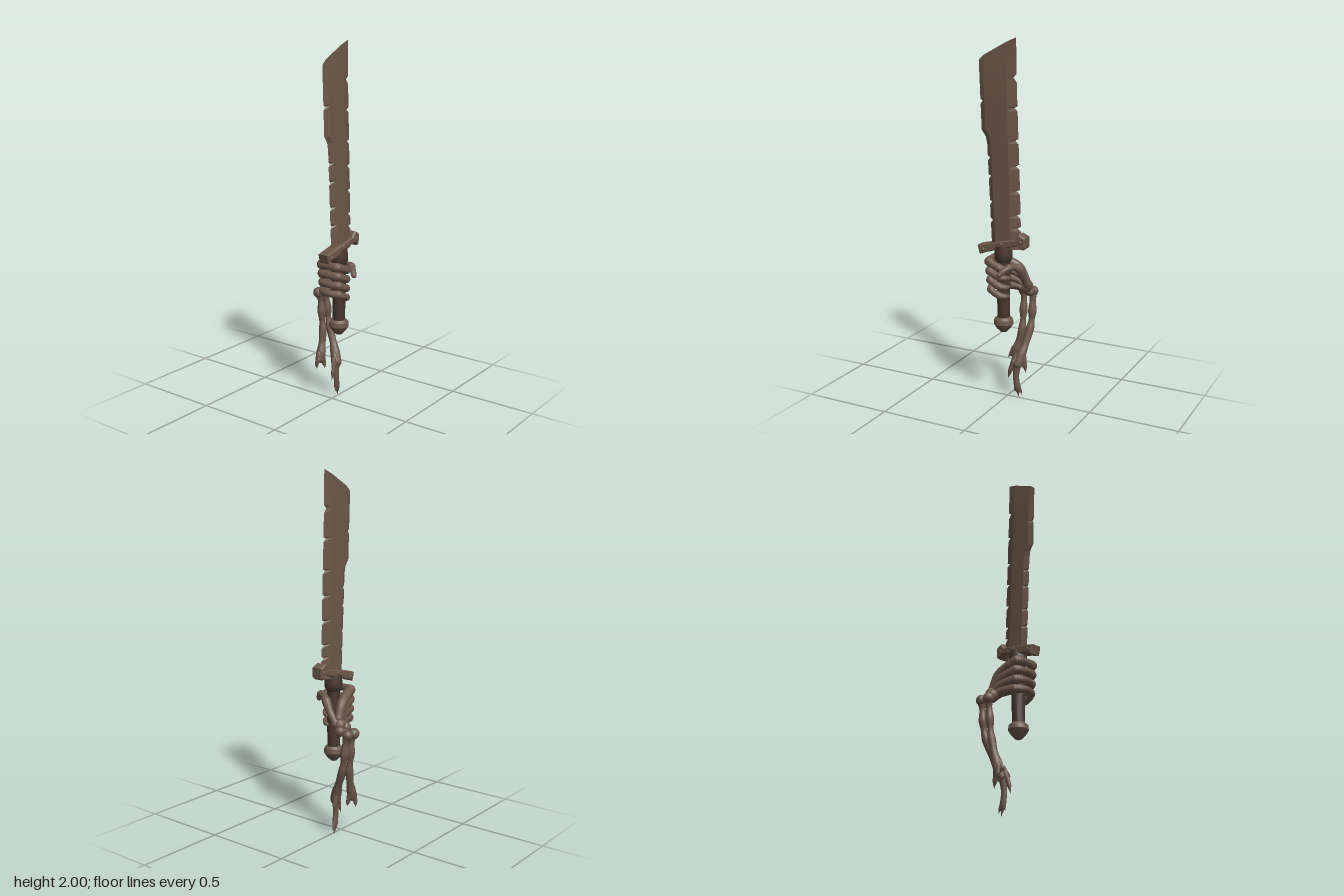
import * as THREE from 'three';
import { toCreasedNormals } from 'three/addons/utils/BufferGeometryUtils.js';

const mat = (name, color, side = THREE.FrontSide) => {
  const m = new THREE.MeshStandardMaterial({ color, side });
  m.name = name;
  return m;
};

export function createModel() {
  const root = new THREE.Group();
  root.name = 'swordInSkeletonHand';
  const steel = mat('rusty steel', 0x6b574a, THREE.DoubleSide);
  const boneMat = mat('old bone', 0x6b574b);
  const leather = mat('dark leather', 0x46372d);
  const SWORD_Z = 0.05;

  const add = (parent, name, geo, material, x = 0, y = 0, z = 0) => {
    const mesh = new THREE.Mesh(geo, material);
    mesh.name = name;
    mesh.position.set(x, y, z);
    parent.add(mesh);
    return mesh;
  };

  // Value at y on a polyline of [y, value] pairs
  const along = (line, y) => {
    for (let i = 1; i < line.length; i++) {
      const [y0, v0] = line[i - 1], [y1, v1] = line[i];
      if (y <= y1) return v0 + (v1 - v0) * Math.max(0, (y - y0) / (y1 - y0));
    }
    return line[line.length - 1][1];
  };

  // Blade: six-sided sections with notched edges and a slanted tip
  const blade = () => {
    const backEdge = [[0.88, -0.07], [1.44, -0.097], [1.48, -0.105], [1.515, -0.13], [1.88, -0.145]];
    const cutEdge = [[0.88, 0.108], [1.3, 0.095], [1.88, 0.073]];
    const cutNotches = [1.0, 1.07, 1.2, 1.335, 1.47, 1.64, 1.76];
    const backNotches = [1.03, 1.13, 1.27, 1.37, 1.67];
    const ys = [0.88, 1.44, 1.48, 1.515, 1.7, 1.82, 1.86, 1.88];
    for (const n of [...cutNotches, ...backNotches]) ys.push(n - 0.018, n, n + 0.008);
    ys.sort((a, b) => a - b);
    const bite = (list, y, d) => (list.includes(y) ? d : 0);
    const pos = [], idx = [];
    ys.forEach((v) => {
      const l0 = along(backEdge, v), r0 = along(cutEdge, v);
      const l = l0 + bite(backNotches, v, 0.014), r = r0 - bite(cutNotches, v, 0.02);
      const t = along([[0.88, 0.018], [1.7, 0.014], [1.8, 0.011], [1.88, 0.003]], v);
      const lift = Math.max(0, (v - 1.7) / 0.18);
      const ring = [[l, 0], [l0 + 0.03, t], [r0 - 0.055, t], [r, 0], [r0 - 0.055, -t], [l0 + 0.03, -t]];
      for (const [x, z] of ring) {
        const s = Math.min(1, Math.max(0, (x + 0.145) / 0.218));
        pos.push(x, v + lift * 0.12 * Math.pow(s, 0.75), z);
      }
    });
    for (let i = 0; i < ys.length - 1; i++) {
      for (let j = 0; j < 6; j++) {
        const a = i * 6 + j, b = i * 6 + (j + 1) % 6;
        idx.push(a, b, b + 6, a, b + 6, a + 6);
      }
    }
    const top = (ys.length - 1) * 6;
    for (let j = 1; j < 5; j++) idx.push(top, top + j, top + j + 1);
    const g = new THREE.BufferGeometry();
    g.setAttribute('position', new THREE.Float32BufferAttribute(pos, 3));
    g.setIndex(idx);
    return toCreasedNormals(g, 0.15);
  };
  add(root, 'blade', blade(), steel, 0, 0, SWORD_Z);

  // Guard: tilted bar with hooked ends and rivets
  const guardShape = new THREE.Shape([
    [-0.142, 0.884], [-0.13, 0.84], [-0.085, 0.857], [0.02, 0.888], [0.1, 0.91], [0.128, 0.89],
    [0.14, 0.9], [0.14, 0.952], [0.105, 0.968], [0.085, 0.938], [-0.02, 0.915],
  ].map(([x, y]) => new THREE.Vector2(x, y)));
  const guardGeo = new THREE.ExtrudeGeometry(guardShape, {
    depth: 0.054, bevelEnabled: true, bevelSize: 0.006, bevelThickness: 0.007, bevelOffset: -0.003, bevelSegments: 1,
  });
  add(root, 'guard', guardGeo, steel, 0, 0, SWORD_Z - 0.027);
  for (const [x, y] of [[-0.11, 0.867], [0, 0.905], [0.115, 0.928]])
    for (const s of [-1, 1]) {
      const rivet = add(root, 'guardRivet', new THREE.SphereGeometry(0.011, 10, 8), steel, x, y, SWORD_Z + s * 0.033);
      rivet.scale.z = 0.6;
    }

  // Turned grip, collar and pommel
  const lathe = (name, profile, material) => add(root, name,
    toCreasedNormals(new THREE.LatheGeometry(profile.map(([r, y]) => new THREE.Vector2(r, y)), 20), 0.6), material, 0, 0, SWORD_Z);
  lathe('grip', [[0.034, 0.47], [0.036, 0.6], [0.038, 0.72], [0.036, 0.83]], leather);
  lathe('collar', [[0.036, 0.8], [0.05, 0.825], [0.05, 0.85], [0.044, 0.895]], leather);
  lathe('pommel', [[0, 0.395], [0.018, 0.402], [0.04, 0.425], [0.055, 0.45], [0.052, 0.475], [0.038, 0.488], [0, 0.49]], steel);

  // Bone: tube along points [x, y, z, radius], closed by rounded ends
  const bone = (parent, name, pts, flat = 1) => {
    const curve = new THREE.CatmullRomCurve3(pts.map((p) => new THREE.Vector3(p[0], p[1], p[2])));
    const seg = pts.length * 6, sides = 12;
    const g = new THREE.TubeGeometry(curve, seg, 1, sides);
    const p = g.attributes.position, v = new THREE.Vector3();
    for (let i = 0; i <= seg; i++) {
      const c = curve.getPointAt(i / seg);
      const f = curve.getUtoTmapping(i / seg) * (pts.length - 1);
      const k = Math.min(pts.length - 2, Math.floor(f));
      const w = THREE.MathUtils.smoothstep(f - k, 0, 1);
      const r = pts[k][3] + (pts[k + 1][3] - pts[k][3]) * w;
      for (let j = 0; j <= sides; j++) {
        const n = i * (sides + 1) + j;
        v.fromBufferAttribute(p, n).sub(c).multiplyScalar(r);
        p.setXYZ(n, c.x + v.x, c.y + v.y, c.z + v.z * flat);
      }
    }
    g.computeVertexNormals();
    add(parent, name, g, boneMat);
    for (const e of [pts[0], pts[pts.length - 1]])
      if (e[3] > 0.006) add(parent, name + 'End', new THREE.SphereGeometry(e[3], 12, 8), boneMat, e[0], e[1], e[2]).scale.z = flat;
  };

  // Hand: four curled fingers round the grip
  const hand = new THREE.Group();
  hand.name = 'hand';
  root.add(hand);
  const wrist = [0.085, 0.645, -0.06];
  for (let i = 0; i < 4; i++) {
    const y = 0.805 - i * 0.052, r = 0.026 - i * 0.001, kx = -0.062 + i * 0.004;
    bone(hand, 'metacarpal', [
      [wrist[0], wrist[1] + 0.035 - i * 0.018, wrist[2] + 0.005, 0.024],
      [0.045, 0.7 + (1.5 - i) * 0.035, -0.045, 0.027], [kx, y, -0.018, r + 0.003]]);
    bone(hand, 'innerFingerBone', [
      [kx - 0.01, y, -0.01, r], [-0.078, y + 0.003, 0.035, r * 0.75], [-0.07 + i * 0.004, y, 0.085, r]]);
    bone(hand, 'middleFingerBone', [
      [-0.068 + i * 0.004, y, 0.09, r], [-0.035, y - 0.012, 0.102, r * 0.78], [0.0, y - 0.026, 0.1, r * 0.9]]);
    bone(hand, 'fingertip', [
      [0.004, y - 0.028, 0.1, r * 0.8], [0.025, y - 0.033, 0.085, r * 0.65], [0.037, y - 0.036, 0.066, r * 0.45]]);
  }
  // Thumb across the front
  bone(hand, 'thumbBase', [[0.1, 0.65, -0.05, 0.026], [0.097, 0.7, -0.01, 0.02], [0.088, 0.765, 0.03, 0.026]]);
  bone(hand, 'thumbMiddle', [[0.086, 0.77, 0.035, 0.024], [0.07, 0.785, 0.065, 0.018], [0.055, 0.785, 0.095, 0.022]]);
  bone(hand, 'thumbTip', [[0.053, 0.783, 0.098, 0.02], [0.034, 0.77, 0.12, 0.017], [0.017, 0.75, 0.138, 0.015]]);
  // Wrist bones
  for (const [x, y, z, r] of [[0.085, 0.645, -0.06, 0.038], [0.1, 0.615, -0.075, 0.03], [0.06, 0.63, -0.08, 0.032], [0.08, 0.605, -0.095, 0.025]])
    add(hand, 'wristBone', new THREE.SphereGeometry(r, 14, 10), boneMat, x, y, z);

  // Forearm: two bones with knobs and broken, splintered ends
  const forearm = new THREE.Group();
  forearm.name = 'forearm';
  root.add(forearm);
  add(forearm, 'outerJoint', new THREE.SphereGeometry(0.029, 16, 12), boneMat, 0.097, 0.6, -0.124);
  add(forearm, 'innerJoint', new THREE.SphereGeometry(0.031, 16, 12), boneMat, 0.04, 0.597, -0.122);
  bone(forearm, 'outerArmBone', [
    [0.098, 0.6, -0.12, 0.024], [0.1, 0.55, -0.112, 0.017], [0.101, 0.49, -0.106, 0.024], [0.1, 0.44, -0.1, 0.017],
    [0.096, 0.39, -0.088, 0.023], [0.085, 0.31, -0.055, 0.02], [0.07, 0.25, -0.028, 0.028], [0.058, 0.2, -0.01, 0.03]]);
  bone(forearm, 'innerArmBone', [
    [0.042, 0.597, -0.12, 0.024], [0.046, 0.55, -0.112, 0.016], [0.046, 0.49, -0.107, 0.023], [0.045, 0.43, -0.102, 0.016],
    [0.043, 0.38, -0.095, 0.022], [0.03, 0.31, -0.09, 0.02], [0.012, 0.25, -0.085, 0.027], [0.005, 0.22, -0.085, 0.026]]);
  const splinters = [
    [[0.055, 0.2, -0.01, 0.024], [0.05, 0.12, -0.005, 0.018], [0.057, 0.06, -0.006, 0.019], [0.066, 0.0, -0.008, 0.002]],
    [[0.054, 0.08, -0.005, 0.014], [0.048, 0.05, -0.004, 0.009], [0.04, 0.025, -0.006, 0.001]],
    [[0.06, 0.07, -0.006, 0.014], [0.075, 0.04, -0.01, 0.009], [0.083, 0.015, -0.012, 0.001]],
    [[0.04, 0.22, -0.01, 0.02], [0.018, 0.16, -0.002, 0.014], [0.0, 0.1, -0.002, 0.001]],
    [[0.075, 0.24, -0.03, 0.024], [0.09, 0.19, -0.03, 0.016], [0.1, 0.14, -0.03, 0.001]],
    [[0.05, 0.24, -0.015, 0.02], [0.04, 0.215, 0.008, 0.012], [0.035, 0.2, 0.026, 0.001]],
    [[0.0, 0.25, -0.085, 0.02], [-0.018, 0.22, -0.078, 0.013], [-0.034, 0.2, -0.07, 0.001]],
    [[0.0, 0.23, -0.09, 0.022], [-0.008, 0.19, -0.098, 0.014], [-0.004, 0.155, -0.102, 0.001]],
    [[0.015, 0.23, -0.08, 0.022], [0.022, 0.19, -0.07, 0.014], [0.02, 0.16, -0.062, 0.001]],
  ];
  splinters.forEach((s) => bone(forearm, 'boneSplinter', s, 0.75));

  return root;
}
